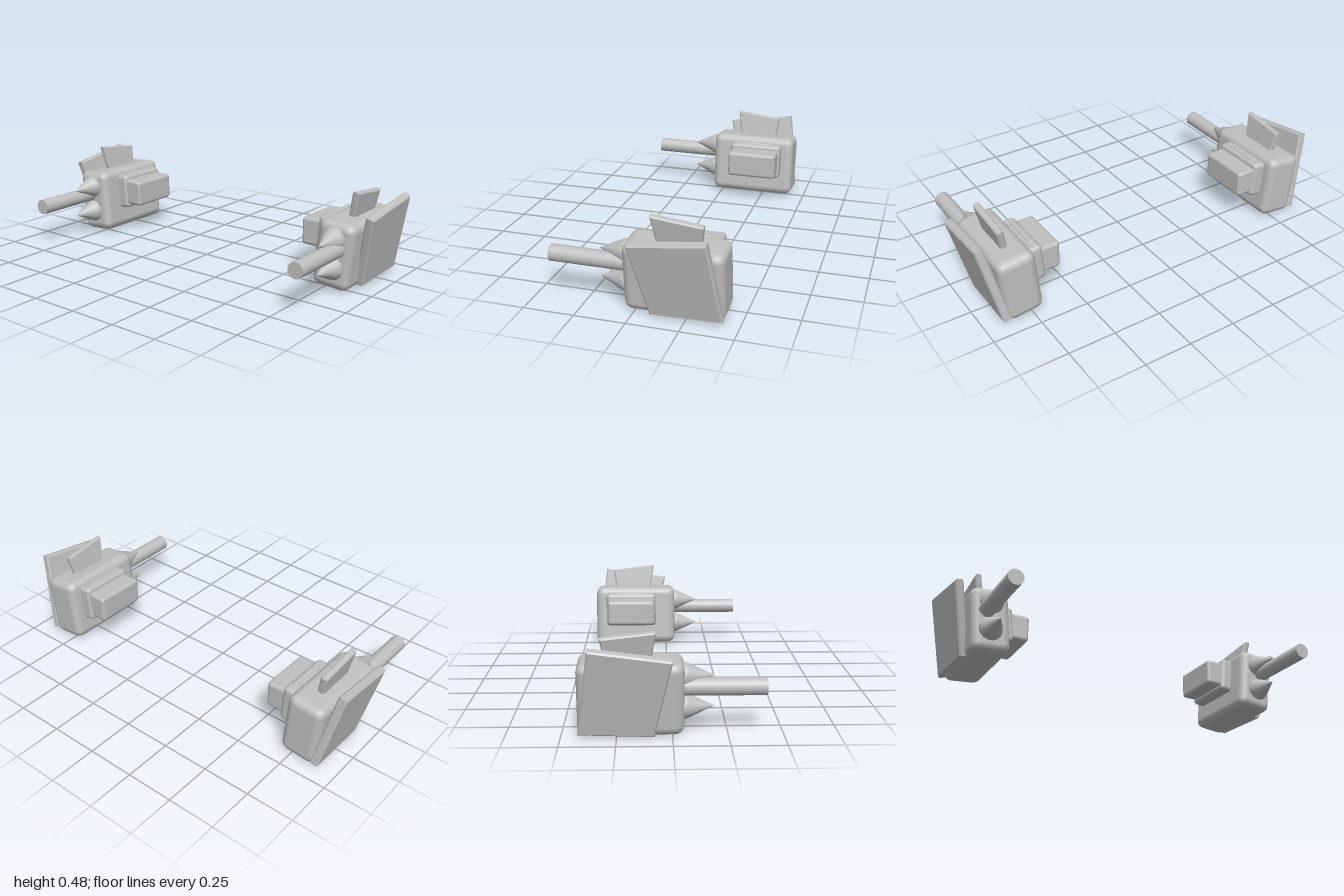
import * as THREE from 'three';
import { RoundedBoxGeometry } from 'three/addons/geometries/RoundedBoxGeometry.js';

const grey = new THREE.MeshStandardMaterial({ color: 0xbfbfbf });
grey.name = 'grey';

// Bevelled plate standing in the z-y plane, centred on its thickness
function plate(points, thickness, bevel) {
  const shape = new THREE.Shape(points.map(([z, y]) => new THREE.Vector2(-z, y)));
  const depth = thickness - 2 * bevel;
  const geo = new THREE.ExtrudeGeometry(shape, {
    depth, bevelEnabled: true, bevelThickness: bevel, bevelSize: bevel, bevelOffset: -bevel, bevelSegments: 1,
  });
  return geo.translate(0, 0, -depth / 2).rotateY(Math.PI / 2);
}

// Every part is symmetric in x, so a side is mirrored by its position and tilt
function createPod(s, name) {
  const pod = new THREE.Group();
  pod.name = name;
  const add = (partName, geo, x, y, z, tilt = 0) => {
    const mesh = new THREE.Mesh(geo, grey);
    mesh.name = partName;
    mesh.position.set(s * x, y, z);
    mesh.rotation.z = -s * tilt;
    pod.add(mesh);
  };

  // Housing leaning outward
  add('body', new RoundedBoxGeometry(0.198, 0.343, 0.48, 2, 0.042), 0.802, 0.181, -0.187, 0.1);

  // Barrel and the two spikes in front
  const barrel = new THREE.CylinderGeometry(0.041, 0.041, 0.43, 24).rotateX(Math.PI / 2);
  add('barrel', barrel, 0.831, 0.222, 0.21);
  const spikeProfile = [[0, 0], [0.061, 0], [0.061, 0.055], [0.053, 0.077], [0, 0.19]]
    .map(([r, h]) => new THREE.Vector2(r, h));
  for (const [label, y, x] of [['upperSpike', 0.268, 0.81], ['lowerSpike', 0.123, 0.805]]) {
    add(label, new THREE.LatheGeometry(spikeProfile, 24).rotateX(Math.PI / 2), x, y, 0);
  }

  // Outer shield and top fin
  const shield = [[-0.08, 0.012], [-0.425, 0.024], [-0.37, 0.445], [0, 0.392]];
  add('shield', plate(shield, 0.045, 0.008), 0.881, 0, 0, 0.22);
  const fin = [[-0.1, -0.03], [-0.3, -0.03], [-0.322, 0.118], [-0.072, 0.147]];
  add('fin', plate(fin, 0.034, 0.007), 0.82, 0.335, 0, 0.2);

  // Stepped mount on the inner side
  add('mountPlate', new RoundedBoxGeometry(0.09, 0.195, 0.3, 2, 0.022), 0.69, 0.232, -0.213, 0.1);
  add('mountRidge', new RoundedBoxGeometry(0.026, 0.03, 0.2, 2, 0.008), 0.685, 0.322, -0.213, 0.1);
  add('mountBlock', new RoundedBoxGeometry(0.15, 0.144, 0.28, 2, 0.018), 0.629, 0.234, -0.212);
  return pod;
}

export function createModel() {
  const model = new THREE.Group();
  model.name = 'podPair';
  model.add(createPod(1, 'leftPod'), createPod(-1, 'rightPod'));
  return model;
}
